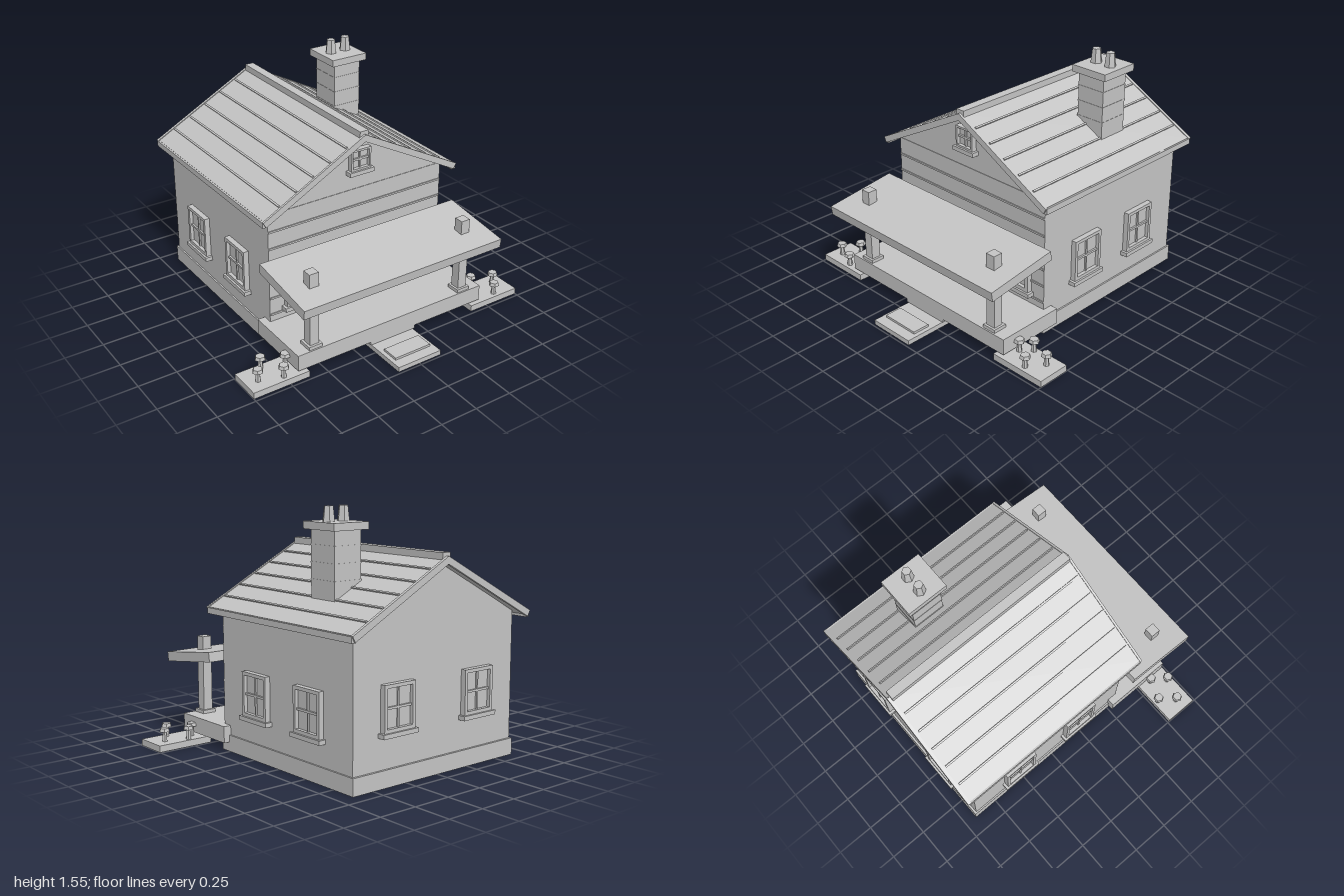
import * as THREE from 'three';

export function createModel() {
  const house = new THREE.Group();
  house.name = 'cottage';
  const grey = new THREE.MeshStandardMaterial({ color: 0xc4c4c4 });
  grey.name = 'plainGrey';

  const add = (parent, name, geometry) => {
    const mesh = new THREE.Mesh(geometry, grey);
    mesh.name = name;
    parent.add(mesh);
    return mesh;
  };
  // Box given by its extents on each axis
  const box = (parent, name, x0, x1, y0, y1, z0, z1) => {
    const mesh = add(parent, name, new THREE.BoxGeometry(x1 - x0, y1 - y0, z1 - z0));
    mesh.position.set((x0 + x1) / 2, (y0 + y1) / 2, (z0 + z1) / 2);
    return mesh;
  };
  // Six-sided faceted post standing on y
  const hex = (parent, name, rTop, rBottom, x, y, z, h) => {
    const geometry = new THREE.CylinderGeometry(rTop, rBottom, h, 6).toNonIndexed();
    geometry.computeVertexNormals();
    geometry.rotateY(Math.PI / 6);
    add(parent, name, geometry).position.set(x, y + h / 2, z);
  };
  const group = (name) => {
    const g = new THREE.Group();
    g.name = name;
    house.add(g);
    return g;
  };

  // Foundation and walls with gables
  box(house, 'foundation', -0.65, 0.65, 0, 0.105, -0.92, 0.33);
  const outline = new THREE.Shape([
    [-0.64, 0.1], [0.64, 0.1], [0.64, 0.9], [0, 1.25], [-0.64, 0.9],
  ].map(([x, y]) => new THREE.Vector2(x, y)));
  add(house, 'walls', new THREE.ExtrudeGeometry(outline, { depth: 1.225, bevelEnabled: false }))
    .position.z = -0.905;
  for (let i = 0; i < 6; i++) {
    const y = 0.215 + i * 0.114;
    box(house, 'frontSidingStrip', -0.638, 0.638, y - 0.006, y + 0.006, 0.31, 0.327);
  }
  box(house, 'gableSeam', -0.638, 0.638, 0.896, 0.902, 0.31, 0.323);

  // Roof halves, each built along its own slope
  const dx = 0.7, dy = 0.37;
  const slope = Math.atan2(dy, dx), length = Math.hypot(dx, dy);
  for (const side of [-1, 1]) {
    const half = group(side > 0 ? 'leftRoof' : 'rightRoof');
    half.position.set(0, 1.275, 0);
    half.rotation.z = -side * slope;
    const span = (name, a, b, y0, y1, z0, z1) =>
      box(half, name, Math.min(side * a, side * b), Math.max(side * a, side * b), y0, y1, z0, z1);
    span('roofSlab', 0, length, -0.03, 0, -0.97, 0.385);
    for (let i = 1; i <= 5; i++) {
      const d = i * 0.133;
      span('roofRib', d - 0.006, d + 0.006, -0.005, 0.008, -0.955, 0.37);
    }
    span('frontBargeboard', 0, length + 0.01, -0.035, 0.005, 0.38, 0.395);
    span('backBargeboard', 0, length + 0.01, -0.035, 0.005, -0.985, -0.965);
    box(house, 'eaveTrim', side * 0.696 - 0.015, side * 0.696 + 0.015, 0.865, 0.902, -0.975, 0.385);
  }
  box(house, 'ridgeCap', -0.03, 0.03, 1.245, 1.3, -0.965, 0.38);

  // Chimney
  const chimney = group('chimney');
  box(chimney, 'chimneyStack', 0.285, 0.482, 0.95, 1.42, -0.565, -0.355);
  for (const y of [1.13, 1.23, 1.33]) {
    box(chimney, 'chimneyCourse', 0.283, 0.484, y - 0.004, y + 0.004, -0.567, -0.353);
  }
  box(chimney, 'chimneyCap', 0.255, 0.515, 1.42, 1.465, -0.6, -0.325);
  for (const x of [0.33, 0.44]) hex(chimney, 'chimneyPot', 0.028, 0.038, x, 1.465, -0.462, 0.09);

  // Window facing +z with its sill bottom at y = 0, turned onto any wall
  const makeWindow = (name, w, h, x, y, z, turn = 0) => {
    const g = group(name);
    g.position.set(x, y, z);
    g.rotation.y = turn;
    const a = w / 2, f = w * 0.09, s = 0.027, top = s + h, mid = s + h / 2;
    box(g, 'glass', -a, a, s, top, -0.01, 0.012);
    for (const k of [-1, 1]) {
      box(g, 'frameSide', k * (a - f / 2) - f / 2, k * (a - f / 2) + f / 2, s, top, -0.01, 0.035);
    }
    box(g, 'frameTop', -a + f, a - f, top - f, top, -0.01, 0.035);
    box(g, 'frameBottom', -a + f, a - f, s, s + f, -0.01, 0.035);
    box(g, 'verticalBar', -0.006, 0.006, s + f, top - f, 0, 0.022);
    box(g, 'horizontalBar', -a + f, a - f, mid - 0.007, mid + 0.007, 0, 0.024);
    box(g, 'sill', -a - 0.017, a + 0.017, 0, s, -0.01, 0.048);
  };
  for (const side of [-1, 1]) {
    for (const z of [-0.04, -0.54]) {
      makeWindow('sideWindow', 0.235, 0.275, side * 0.64, 0.243, z, side * Math.PI / 2);
    }
    makeWindow('backWindow', 0.235, 0.275, side * 0.32, 0.293, -0.905, Math.PI);
    makeWindow('frontWindow', 0.275, 0.29, side * 0.4, 0.225, 0.32);
  }
  makeWindow('atticWindow', 0.142, 0.137, 0, 1.01, 0.32);

  // Front door
  const door = group('frontDoor');
  box(door, 'doorLeaf', -0.11, 0.11, 0.165, 0.56, 0.31, 0.355);
  for (const k of [-1, 1]) {
    box(door, 'doorJamb', k * 0.1225 - 0.0125, k * 0.1225 + 0.0125, 0.165, 0.585, 0.31, 0.365);
  }
  box(door, 'doorLintel', -0.11, 0.11, 0.56, 0.585, 0.31, 0.365);
  box(door, 'doorPane', -0.073, 0.073, 0.315, 0.412, 0.35, 0.385);
  box(door, 'doorKnob', 0.066, 0.088, 0.25, 0.272, 0.35, 0.385);

  // Porch
  const porch = group('porch');
  box(porch, 'porchDeck', -0.69, 0.69, 0.06, 0.165, 0.255, 0.715);
  for (const k of [-1, 1]) {
    const x = k * 0.56;
    box(porch, 'postFoot', x - 0.047, x + 0.047, 0.165, 0.187, 0.611, 0.705);
    box(porch, 'porchPost', x - 0.032, x + 0.032, 0.165, 0.67, 0.626, 0.69);
  }
  const canopy = add(porch, 'porchRoof', new THREE.BoxGeometry(1.45, 0.062, 0.488));
  canopy.position.set(0, 0.56, 0.597);
  canopy.rotation.x = 0.134;

  // Entry path and steps
  box(house, 'entryPath', -0.158, 0.158, 0, 0.032, 0.44, 0.985);
  box(house, 'lowerStep', -0.13, 0.13, 0.032, 0.047, 0.8, 0.915);
  box(house, 'upperStep', -0.167, 0.167, 0.037, 0.06, 0.6, 0.714);

  // Garden beds with small six-sided flowers
  const flowers = [
    [0.77, 0.54], [0.915, 0.59], [0.84, 0.69], [0.708, 0.6],
    [-0.845, 0.54], [-0.92, 0.64], [-0.775, 0.69], [-0.708, 0.595],
  ];
  for (const k of [-1, 1]) {
    box(house, 'gardenBed', k * 0.81 - 0.19, k * 0.81 + 0.19, 0, 0.042, 0.51, 0.728);
  }
  for (const [x, z] of flowers) {
    hex(house, 'flowerStem', 0.012, 0.018, x, 0.04, z, 0.068);
    hex(house, 'flowerHead', 0.029, 0.035, x, 0.106, z, 0.022);
  }

  return house;
}
